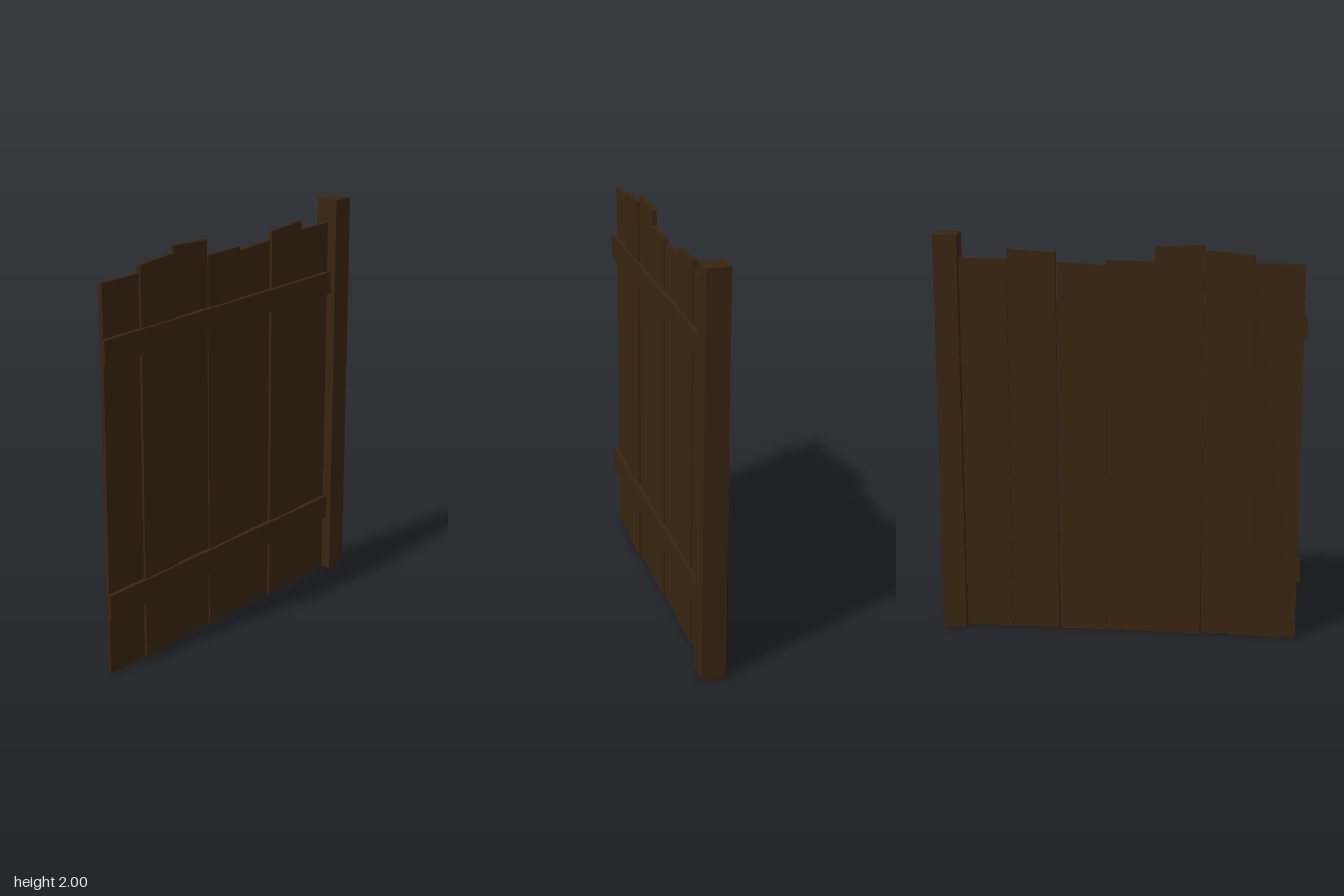
import * as THREE from 'three';

const wood = new THREE.MeshStandardMaterial({ color: 0x38240f });
wood.name = 'dark wood';

// Box given by its min and max corners
function box(name, [x0, y0, z0], [x1, y1, z1]) {
  const mesh = new THREE.Mesh(new THREE.BoxGeometry(x1 - x0, y1 - y0, z1 - z0), wood);
  mesh.position.set((x0 + x1) / 2, (y0 + y1) / 2, (z0 + z1) / 2);
  mesh.name = name;
  return mesh;
}

// Upright board with a sloping top edge
function plank(x0, x1, topLeft, topRight, back) {
  const shape = new THREE.Shape([
    new THREE.Vector2(x0, 0), new THREE.Vector2(x1, 0),
    new THREE.Vector2(x1, topRight), new THREE.Vector2(x0, topLeft),
  ]);
  const geometry = new THREE.ExtrudeGeometry(shape, { depth: 0.022, bevelEnabled: false });
  geometry.translate(0, 0, back);
  const mesh = new THREE.Mesh(geometry, wood);
  mesh.name = 'plank';
  return mesh;
}

export function createModel() {
  const fence = new THREE.Group();
  fence.name = 'fencePanel';

  // Planks: start x, end x, top at start, top at end, back z
  const planks = [
    [-0.878, -0.641, 1.882, 1.882, -0.015],
    [-0.641, -0.406, 1.922, 1.937, -0.003],
    [-0.403, -0.168, 1.967, 1.954, -0.015],
    [-0.168, 0.067, 1.882, 1.882, -0.008],
    [0.067, 0.302, 1.86, 1.87, -0.015],
    [0.31, 0.545, 1.914, 1.929, -0.008],
    [0.545, 0.78, 1.882, 1.882, -0.015],
  ];
  for (const p of planks) fence.add(plank(...p));

  // Rails across the front
  fence.add(box('lowerRail', [-0.894, 0.29, 0.006], [0.78, 0.407, 0.031]));
  fence.add(box('upperRail', [-0.894, 1.517, 0.006], [0.78, 1.63, 0.031]));

  // Post at the end
  fence.add(box('post', [0.776, 0, -0.058], [0.892, 2, 0.058]));
  return fence;
}
